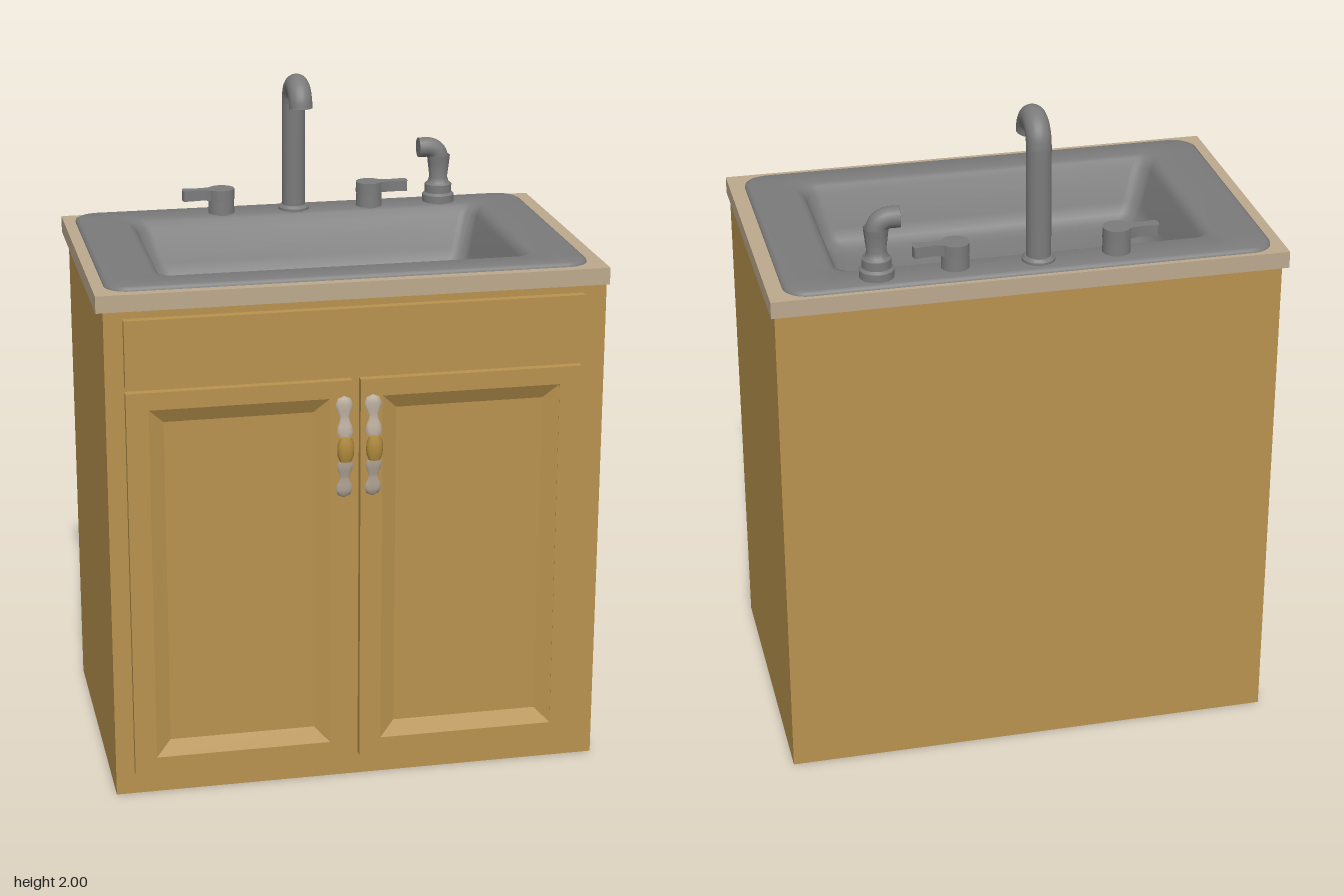
import * as THREE from 'three';
import { toCreasedNormals } from 'three/addons/utils/BufferGeometryUtils.js';

const material = (name, color, side = THREE.FrontSide) => {
  const m = new THREE.MeshStandardMaterial({ color, side });
  m.name = name;
  return m;
};

// Rectangle outline in x/z as a Shape (shape y is -z)
function rectPath(x0, x1, z0, z1, Type = THREE.Shape) {
  return new Type([[x0, -z0], [x0, -z1], [x1, -z1], [x1, -z0]].map(p => new THREE.Vector2(...p)));
}

// Horizontal slab from a shape, standing on y
function slab(shape, y, h) {
  const g = new THREE.ExtrudeGeometry(shape, { depth: h, bevelEnabled: false, curveSegments: 16 });
  return g.rotateX(-Math.PI / 2).translate(0, y, 0);
}

// Closed rounded-rectangle rings from outside to inside, capped at the last ring
function loftRings(rings, steps, crease) {
  const pos = [], idx = [], n = 4 * (steps + 1);
  for (const [x0, x1, z0, z1, r, y] of rings) {
    for (let c = 0; c < 4; c++) {
      const cx = c === 0 || c === 3 ? x1 - r : x0 + r;
      const cz = c < 2 ? z1 - r : z0 + r;
      for (let s = 0; s <= steps; s++) {
        const a = (c + (steps ? s / steps : 0.5)) * Math.PI / 2;
        pos.push(cx + r * Math.cos(a), y, cz + r * Math.sin(a));
      }
    }
  }
  for (let i = 0; i < rings.length - 1; i++) {
    for (let j = 0; j < n; j++) {
      const a = i * n + j, b = i * n + (j + 1) % n;
      idx.push(a, a + n, b, b, a + n, b + n);
    }
  }
  const [x0, x1, z0, z1, , y] = rings.at(-1);
  const base = (rings.length - 1) * n;
  pos.push((x0 + x1) / 2, y, (z0 + z1) / 2);
  for (let j = 0; j < n; j++) idx.push(base + j, base + n, base + (j + 1) % n);
  const g = new THREE.BufferGeometry();
  g.setAttribute('position', new THREE.Float32BufferAttribute(pos, 3));
  g.setIndex(idx);
  return toCreasedNormals(g, crease);
}

const turned = (pts, seg) => new THREE.LatheGeometry(pts.map(p => new THREE.Vector2(...p)), seg);
const lathe = (pts, seg = 24) => toCreasedNormals(turned(pts, seg), 0.7);

export function createModel() {
  const model = new THREE.Group();
  model.name = 'sinkCabinet';
  const wood = material('wood', 0xb8924e);
  const stone = material('countertop', 0xbca98d);
  const metal = material('metal', 0x7b7b7b, THREE.DoubleSide);
  const grate = material('grateMetal', 0x484848);
  const black = material('drainBlack', 0x0a0a0a);
  const pewter = material('pewter', 0xb5a898);
  const brass = material('brass', 0xb08a3c);

  const add = (name, geo, mat, parent = model) => {
    const m = new THREE.Mesh(geo, mat);
    m.name = name;
    parent.add(m);
  };
  const box = (name, x0, x1, y0, y1, z0, z1, mat, parent) => {
    const g = new THREE.BoxGeometry(x1 - x0, y1 - y0, z1 - z0);
    add(name, g.translate((x0 + x1) / 2, (y0 + y1) / 2, (z0 + z1) / 2), mat, parent);
  };

  // Open-topped cabinet body
  const walls = rectPath(-0.73, 0.74, -0.485, 0.42);
  walls.holes.push(rectPath(-0.71, 0.72, -0.465, 0.4, THREE.Path));
  add('cabinetWalls', slab(walls, 0, 1.5), wood);
  box('cabinetFloor', -0.715, 0.725, 0, 0.02, -0.47, 0.405, wood);

  // Countertop with the sink cut-out
  const top = rectPath(-0.75, 0.75, -0.49, 0.42);
  top.holes.push(rectPath(-0.62, 0.61, -0.4, 0.33, THREE.Path));
  add('countertop', slab(top, 1.5, 0.05), stone);

  // False drawer front
  box('drawerFront', -0.675, 0.67, 1.28, 1.48, 0.42, 0.445, wood);

  // Doors with a sunken panel
  for (const [name, x0, x1] of [['rightDoor', -0.675, -0.02], ['leftDoor', 0.005, 0.665]]) {
    const door = new THREE.Group();
    door.name = name;
    const hw = (x1 - x0) / 2, pw = hw - 0.065, hh = 0.5975, ph = 0.545;
    const frame = rectPath(-hw, hw, -hh, hh);
    frame.holes.push(rectPath(-pw, pw, -ph, ph, THREE.Path));
    add('doorFrame', new THREE.ExtrudeGeometry(frame, { depth: 0.025, bevelEnabled: false }), wood, door);
    const panel = loftRings([
      [-pw, pw, -ph, ph, 0, 0.024],
      [-pw + 0.045, pw - 0.045, -ph + 0.045, ph - 0.045, 0, 0.001],
    ], 0, 0.1);
    add('doorPanel', panel.rotateX(Math.PI / 2), wood, door);
    door.position.set((x0 + x1) / 2, 0.6675, 0.42);
    model.add(door);
  }

  // Bowed door pulls: two flattened leaves and a brass barrel
  const leaf = [[0.012, 0], [0.012, 0.022], [0.018, 0.036], [0.024, 0.05], [0.021, 0.068], [0.014, 0.085],
    [0.014, 0.098], [0.022, 0.115], [0.025, 0.132], [0.018, 0.148], [0.001, 0.155]];
  for (const [name, x] of [['rightPull', -0.045], ['leftPull', 0.04]]) {
    const pull = new THREE.Group();
    pull.name = name;
    for (const s of [1, -1]) {
      const g = turned(leaf, 16);
      const p = g.attributes.position;
      for (let i = 0; i < p.count; i++) {
        const rise = Math.max(0, 1 - p.getY(i) / 0.155);
        p.setZ(i, p.getZ(i) * 0.3 + 0.026 * rise ** 1.2 + 0.004);
      }
      if (s < 0) g.rotateZ(Math.PI);
      add('pullLeaf', toCreasedNormals(g, 0.9), pewter, pull);
    }
    const barrel = lathe([[0.001, -0.038], [0.017, -0.036], [0.024, -0.018], [0.025, 0],
      [0.024, 0.018], [0.017, 0.036], [0.001, 0.038]], 16);
    add('pullBarrel', barrel.scale(1, 1, 0.65).translate(0, 0, 0.029), brass, pull);
    pull.position.set(x, 1.065, 0.445);
    model.add(pull);
  }

  // Sink rim and basin
  add('sink', loftRings([
    [-0.715, 0.705, -0.475, 0.39, 0.07, 1.549],
    [-0.713, 0.703, -0.473, 0.388, 0.068, 1.557],
    [-0.703, 0.693, -0.463, 0.378, 0.06, 1.562],
    [-0.565, 0.56, -0.36, 0.29, 0.05, 1.562],
    [-0.55, 0.545, -0.347, 0.274, 0.05, 1.556],
    [-0.538, 0.533, -0.335, 0.262, 0.05, 1.535],
    [-0.505, 0.505, -0.305, 0.235, 0.05, 1.43],
    [-0.488, 0.49, -0.29, 0.22, 0.05, 1.395],
    [-0.465, 0.468, -0.27, 0.2, 0.05, 1.377],
    [-0.43, 0.435, -0.24, 0.17, 0.05, 1.37],
  ], 8, 1.1), metal);

  // Oval drain with a crossed grate
  const drain = new THREE.Group();
  drain.name = 'drain';
  drain.position.set(-0.006, 1.372, -0.04);
  drain.scale.z = 0.85;
  add('drainHole', new THREE.CircleGeometry(0.088, 32).rotateX(-Math.PI / 2), black, drain);
  add('drainRing', new THREE.TorusGeometry(0.087, 0.004, 8, 32).rotateX(Math.PI / 2), grate, drain);
  for (let i = -2; i <= 2; i++) {
    const d = i * 0.03, h = Math.sqrt(0.087 ** 2 - d * d);
    box('grateBar', d - 0.003, d + 0.003, 0, 0.004, -h, h, grate, drain);
    box('grateBar', -h, h, 0, 0.005, d - 0.003, d + 0.003, grate, drain);
  }
  model.add(drain);

  // Gooseneck faucet
  const v = (x, y, z) => new THREE.Vector3(x, y, z);
  const neck = new THREE.CurvePath();
  neck.add(new THREE.LineCurve3(v(-0.03, 1.56, -0.4), v(-0.03, 1.904, -0.394)));
  const arc = [];
  for (let i = 0; i <= 8; i++) {
    const a = i / 8 * Math.PI;
    arc.push(v(-0.03, 1.904 + 0.06 * Math.sin(a), -0.334 - 0.06 * Math.cos(a)));
  }
  neck.add(new THREE.CatmullRomCurve3(arc));
  add('faucetNeck', new THREE.TubeGeometry(neck, 60, 0.036, 20), metal);
  add('faucetOutlet', new THREE.CircleGeometry(0.036, 20).rotateX(Math.PI / 2).translate(-0.03, 1.908, -0.274), metal);
  add('faucetBase', lathe([[0.048, 0], [0.048, 0.009], [0.04, 0.017], [0.03, 0.017]])
    .translate(-0.03, 1.56, -0.4), metal);

  // Tap levers pointing away from the faucet
  const lever = new THREE.Shape();
  lever.absarc(0, 0, 0.041, -2.6, 2.6, false);
  lever.lineTo(-0.065, 0.014);
  lever.lineTo(-0.118, 0.02);
  lever.quadraticCurveTo(-0.128, 0, -0.118, -0.02);
  lever.lineTo(-0.065, -0.014);
  lever.closePath();
  for (const [name, x, turn] of [['rightTap', -0.26, 0], ['leftTap', 0.21, Math.PI]]) {
    const tap = new THREE.Group();
    tap.name = name;
    add('tapBody', new THREE.CylinderGeometry(0.039, 0.041, 0.05, 24).translate(0, 0.025, 0), metal, tap);
    add('tapLever', toCreasedNormals(slab(lever, 0.045, 0.033), 0.6), metal, tap);
    tap.position.set(x, 1.56, -0.395);
    tap.rotation.y = turn;
    model.add(tap);
  }

  // Side sprayer with a curved head
  const sprayer = new THREE.Group();
  sprayer.name = 'sprayer';
  add('sprayerBase', lathe([[0.05, 0], [0.05, 0.025], [0.042, 0.032], [0.042, 0.058], [0.034, 0.064],
    [0.028, 0.08], [0.034, 0.13], [0.036, 0.15]]), metal, sprayer);
  const head = new THREE.CatmullRomCurve3([v(0, 0.1, 0), v(0, 0.14, 0), v(-0.009, 0.163, 0),
    v(-0.03, 0.175, 0), v(-0.066, 0.176, 0)]);
  add('sprayerHead', new THREE.TubeGeometry(head, 24, 0.031, 18), metal, sprayer);
  add('sprayerNozzle', new THREE.CircleGeometry(0.031, 18).rotateY(-Math.PI / 2).translate(-0.066, 0.176, 0), metal, sprayer);
  sprayer.position.set(0.437, 1.56, -0.407);
  model.add(sprayer);

  return model;
}
